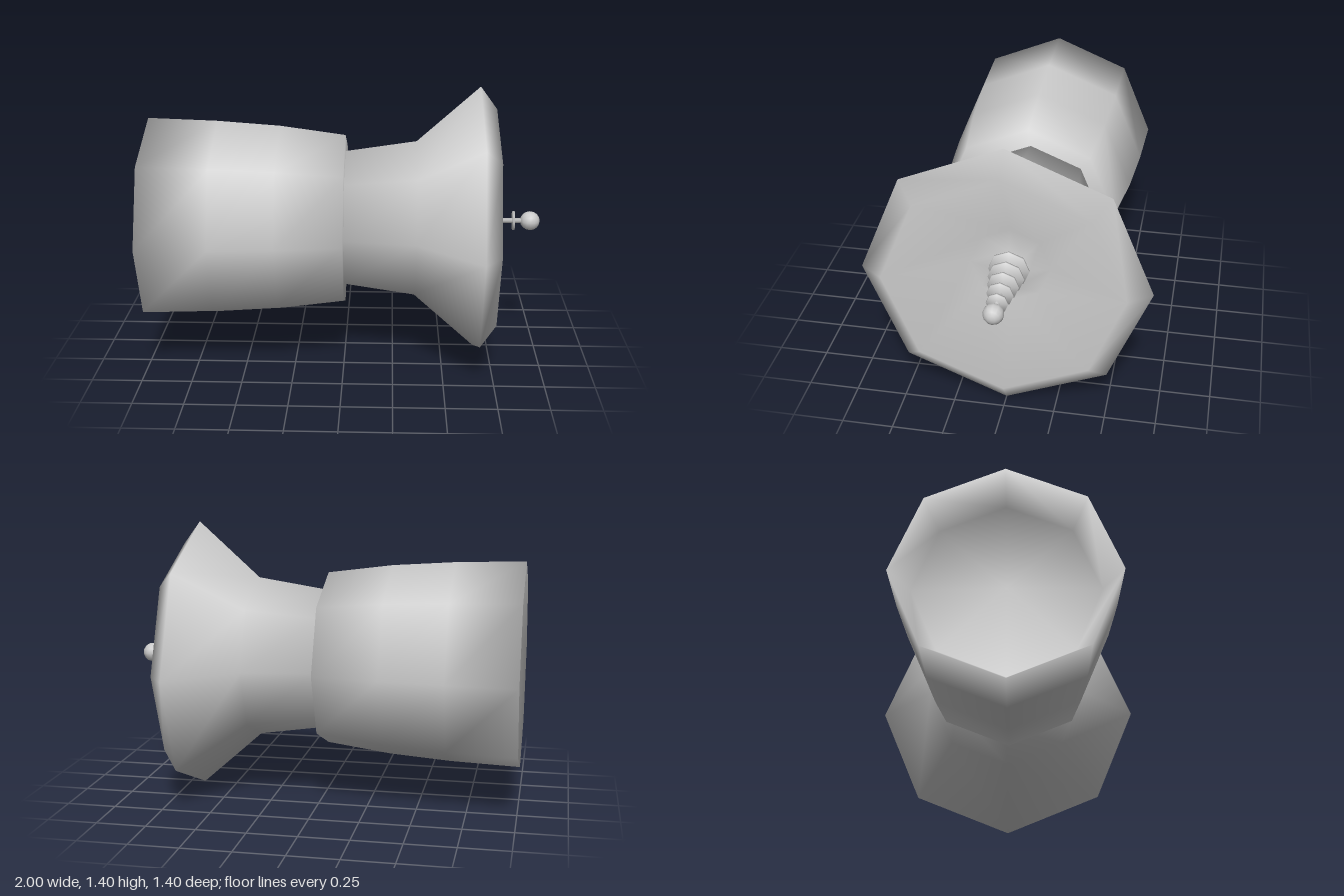
import * as THREE from 'three';

const SIDES = 8;
const AXIS_Y = 0.7;

export function createModel() {
  const group = new THREE.Group();
  const material = new THREE.MeshStandardMaterial({ color: 0xcccccc });

  function add(name, geometry, z = 0) {
    const mesh = new THREE.Mesh(geometry, material);
    mesh.name = name;
    mesh.position.set(0, AXIS_Y, z);
    group.add(mesh);
  }

  // Eight-sided turned solid along x, from [x, radius] pairs.
  // Normals are evenly averaged across every edge for a soft, rounded look.
  function turned(name, profile, z) {
    const points = profile.map(([x, r]) => new THREE.Vector2(r, x));
    const geometry = new THREE.LatheGeometry(points, SIDES);
    const segments = points.slice(1).map((p, j) => {
      const d = p.clone().sub(points[j]).normalize();
      return new THREE.Vector2(d.y, -d.x);
    });
    const normals = points.map((p, j) => {
      const n = new THREE.Vector2();
      if (j > 0) n.add(segments[j - 1]);
      if (j < segments.length) n.add(segments[j]);
      if (p.x === 0) n.x = 0;
      return n.normalize();
    });
    for (let i = 0; i <= SIDES; i++) {
      const a = (i / SIDES) * Math.PI * 2;
      normals.forEach((n, j) => geometry.attributes.normal.setXYZ(
        i * points.length + j, n.x * Math.sin(a), n.y, n.x * Math.cos(a)));
    }
    add(name, geometry.rotateZ(-Math.PI / 2), z);
  }

  // Rear barrel with a hollowed back end, set very slightly off the axis
  turned('barrel', [
    [-0.81, 0], [-0.81, 0.44], [-1, 0.53], [-0.65, 0.518], [-0.33, 0.495], [0, 0.45], [0, 0],
  ], 0.016);

  // Flared horn, bevelled rim and concave dish rising to the antenna foot
  turned('horn', [
    [0, 0], [0, 0.362], [0.36, 0.417], [0.675, 0.7], [0.76, 0.585],
    [0.545, 0.2], [0.58, 0.1], [0.58, 0],
  ]);

  // Antenna: rod, shrinking rings and ball tip
  turned('antennaRod', [[0.56, 0], [0.56, 0.013], [0.95, 0.013], [0.95, 0]]);
  for (let i = 0; i < 5; i++) {
    const x = 0.585 + i * 0.07;
    const r = 0.1 - i * 0.012;
    turned('antennaRing' + (i + 1), [[x - 0.005, 0], [x - 0.005, r], [x + 0.005, r], [x + 0.005, 0]]);
  }
  add('antennaBall', new THREE.SphereGeometry(0.05, 12, 8)
    .rotateZ(-Math.PI / 2).translate(0.95, 0, 0));

  return group;
}
